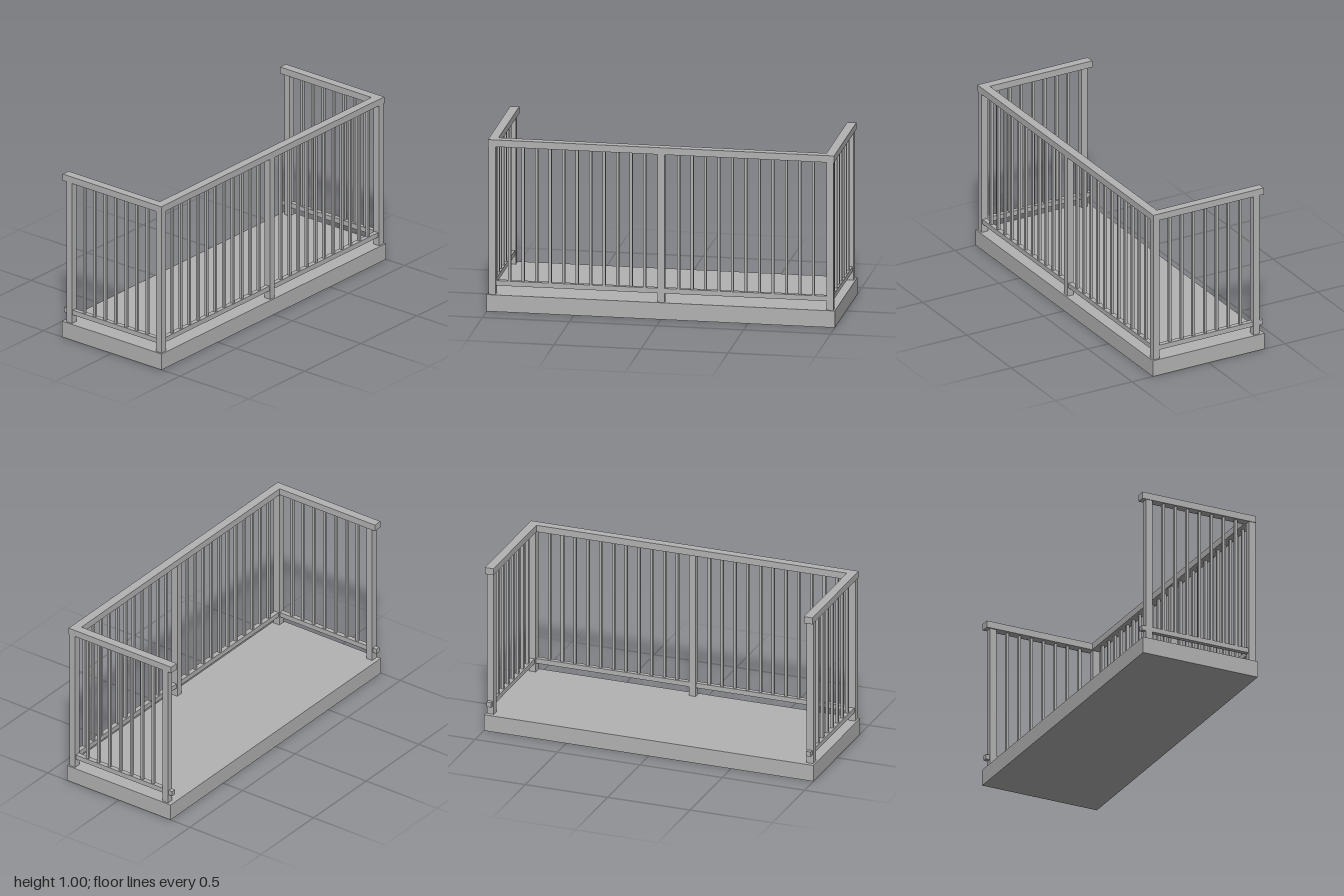
import * as THREE from 'three';

export function createModel() {
  const model = new THREE.Group();
  model.name = 'balcony';
  const grey = new THREE.MeshStandardMaterial({ color: 0xb3b3b3 });
  grey.name = 'grey';

  // Box from centre x/z, size and bottom/top heights
  const box = (name, x, z, w, d, y0, y1, parent = model) => {
    const mesh = new THREE.Mesh(new THREE.BoxGeometry(w, y1 - y0, d), grey);
    mesh.position.set(x, (y0 + y1) / 2, z);
    mesh.name = name;
    parent.add(mesh);
    return mesh;
  };

  // U-shaped rail running along both sides and the front, open at the back
  const uRail = (name, xOut, zFront, width, zBack, y0, y1) => {
    const xIn = xOut - width, zIn = zFront - width;
    const shape = new THREE.Shape([
      [-xOut, -zFront], [xOut, -zFront], [xOut, -zBack], [xIn, -zBack],
      [xIn, -zIn], [-xIn, -zIn], [-xIn, -zBack], [-xOut, -zBack],
    ].map(([x, y]) => new THREE.Vector2(x, y)));
    const geo = new THREE.ExtrudeGeometry(shape, { depth: y1 - y0, bevelEnabled: false });
    geo.rotateX(-Math.PI / 2);
    const mesh = new THREE.Mesh(geo, grey);
    mesh.position.y = y0;
    mesh.name = name;
    model.add(mesh);
  };

  const slabTop = 0.098, railBottom = 0.965, lowTop = 0.178;
  const post = 0.04, postX = 0.97, frontZ = 0.334, backZ = -0.319;

  // Floor
  box('floorSlab', 0, 0, 2, 0.728, 0, slabTop);

  // Handrail and lower rail
  uRail('handrail', 0.994, 0.357, 0.052, -0.364, railBottom, 1.005);
  uRail('lowerRail', postX + 0.014, frontZ + 0.014, 0.028, -0.364, 0.149, lowTop);

  // Posts
  for (const x of [-postX, 0, postX]) box('frontPost', x, frontZ, post, post, slabTop, railBottom);
  for (const x of [-postX, postX]) box('backPost', x, backZ, post, post, slabTop, railBottom);

  // Balusters, evenly spaced between the faces of neighbouring posts
  const balusters = new THREE.Group();
  balusters.name = 'balusters';
  model.add(balusters);
  const fill = (name, a, b, divisions, place) => {
    const from = a + post / 2, to = b - post / 2;
    for (let i = 1; i < divisions; i++) {
      const [x, z] = place(from + (to - from) * i / divisions);
      box(name, x, z, 0.016, 0.016, lowTop, railBottom, balusters);
    }
  };
  fill('frontBaluster', -postX, 0, 12, t => [t, frontZ]);
  fill('frontBaluster', 0, postX, 12, t => [t, frontZ]);
  for (const x of [-postX, postX]) fill('sideBaluster', backZ, frontZ, 8, t => [x, t]);

  return model;
}
